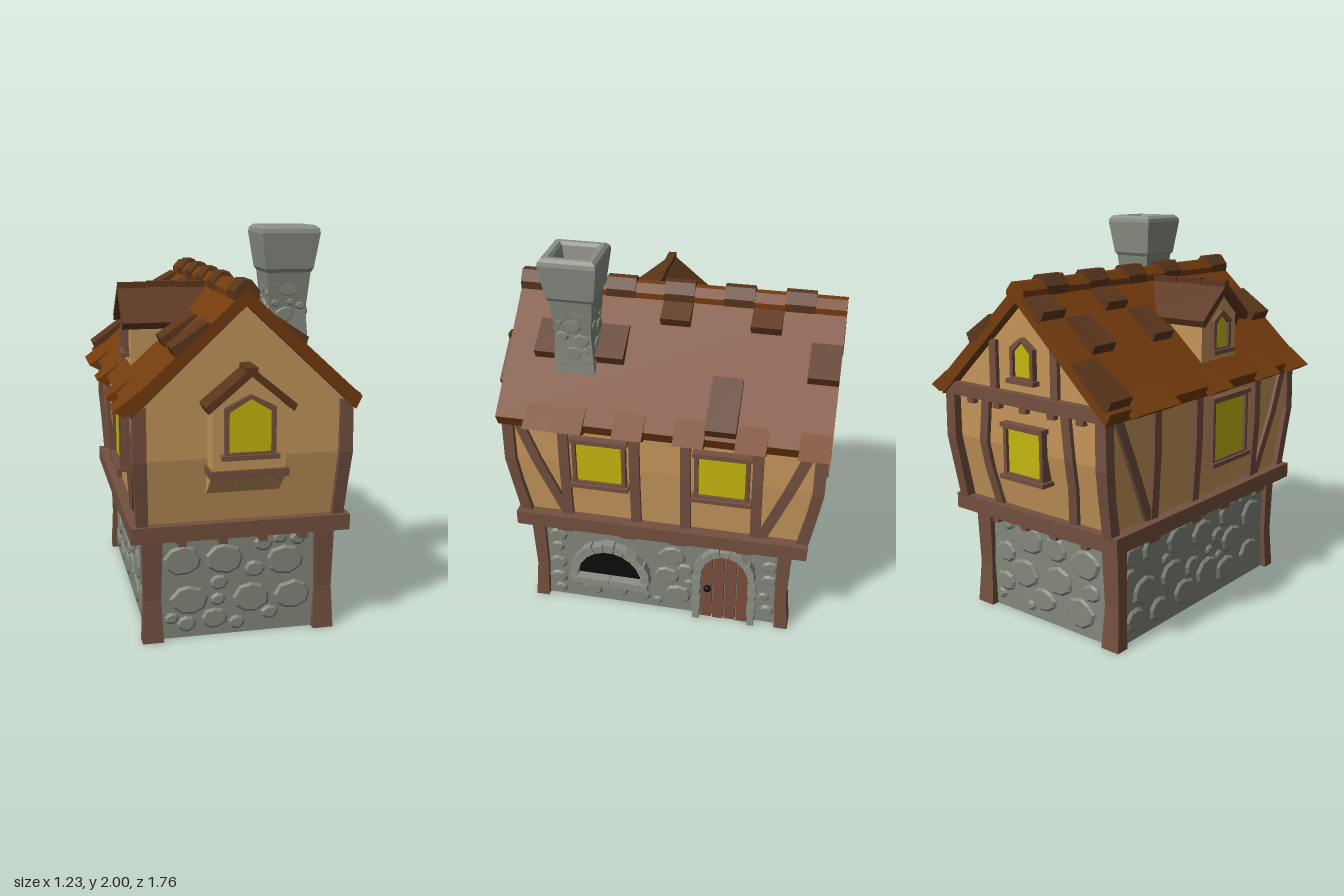
import * as THREE from 'three';
import { mergeGeometries } from 'three/addons/utils/BufferGeometryUtils.js';

const mat = (color) => new THREE.MeshStandardMaterial({ color, flatShading: true });
const M = {
  plaster: mat(0xc4955a), timber: mat(0x73503f), roof: mat(0x743c0e), tile: mat(0x5c361c),
  stone: mat(0x82877b), rim: mat(0x8b9085), glass: mat(0xc4b60f), dark: mat(0x0b0b0b), door: mat(0x7a4f3c),
};
let seed = 7;
const rnd = () => (seed = (seed * 16807) % 2147483647) / 2147483647;

function add(parent, name, geo, material, x = 0, y = 0, z = 0) {
  const m = new THREE.Mesh(geo, material);
  m.name = name;
  m.position.set(x, y, z);
  parent.add(m);
  return m;
}
const box = (p, name, m, w, h, d, x, y, z) => add(p, name, new THREE.BoxGeometry(w, h, d), m, x, y, z);

// Stack of rectangles [y, x0, x1, z0, z1] joined into a closed solid
function loft(rings) {
  const c = rings.map(([y, x0, x1, z0, z1]) => [[x0, y, z1], [x1, y, z1], [x1, y, z0], [x0, y, z0]]);
  const pos = [];
  const quad = (a, b, d, e) => pos.push(...a, ...b, ...d, ...a, ...d, ...e);
  for (let i = 0; i + 1 < c.length; i++)
    for (let k = 0; k < 4; k++) quad(c[i][k], c[i][(k + 1) % 4], c[i + 1][(k + 1) % 4], c[i + 1][k]);
  quad(...[...c[0]].reverse());
  quad(...c[c.length - 1]);
  const g = new THREE.BufferGeometry();
  g.setAttribute('position', new THREE.Float32BufferAttribute(pos, 3));
  g.computeVertexNormals();
  return g;
}
const poly = (pts) => new THREE.Shape(pts.map(([x, y]) => new THREE.Vector2(x, y)));
const extrude = (shape, z0, z1) =>
  new THREE.ExtrudeGeometry(shape, { depth: z1 - z0, bevelEnabled: false }).translate(0, 0, z0);
const house = (w, y0, y1, apex) => [[-w, y0], [w, y0], [w, y1], [0, apex], [-w, y1]];
const gableRoof = (w, eave, ridge, t, z0, z1) => extrude(poly([
  [-w, eave], [-w + t * 0.4, eave - t * 0.8], [0, ridge - t], [w - t * 0.4, eave - t * 0.8], [w, eave], [0, ridge]]), z0, z1);

// Framed window on a wall face; peak > 0 gives a pointed head
function windowOn(face, u, y, w, h, z, peak = 0) {
  const g = new THREE.Group();
  g.name = 'window';
  g.position.set(u, y, z);
  const f = 0.02;
  const pts = (k) => house(w / 2 + k, -h / 2 - k, h / 2 + k, h / 2 + k + peak + 0.0001);
  const frame = poly(pts(f));
  frame.holes.push(poly(pts(0)));
  add(g, 'windowFrame', extrude(frame, -0.04, 0.025), M.timber);
  add(g, 'windowPane', extrude(poly(pts(0.005)), -0.04, 0.008), M.glass);
  box(g, 'windowSill', M.timber, w + 0.07, 0.022, 0.08, 0, -h / 2 - f, 0);
  if (!peak) box(g, 'windowHead', M.timber, w + 0.06, 0.022, 0.07, 0, h / 2 + f, 0);
  face.add(g);
}

// Scattered irregular stones lying on a face
function stones(face, u0, u1, y0, y1, z, rMax, tries, blocked = () => false) {
  const placed = [], geos = [];
  for (let i = 0; i < tries; i++) {
    const r = rMax * (1 - 0.68 * i / tries), u = u0 + r + rnd() * (u1 - u0 - 2 * r), y = y0 + r + rnd() * (y1 - y0 - 2 * r);
    if (blocked(u, y, r) || placed.some((p) => Math.hypot(p[0] - u, (p[1] - y) * 1.2) < (p[2] + r) * 0.97)) continue;
    placed.push([u, y, r]);
    const pts = [], b = rMax * 0.12;
    for (let k = 0; k < 9; k++) {
      const a = (k + rnd() * 0.4) * Math.PI * 2 / 9, q = (r - b) * (0.88 + rnd() * 0.12);
      pts.push([Math.cos(a) * q, Math.sin(a) * q * 0.8]);
    }
    geos.push(new THREE.ExtrudeGeometry(poly(pts), { depth: 0.006, bevelSize: b, bevelThickness: 0.01, bevelSegments: 1 }).translate(u, y, z));
  }
  add(face, 'wallStones', mergeGeometries(geos), M.stone);
}

// Ring of wedge stones round an arched opening
function archStones(face, u, y, a, b, t, n, z0, z1) {
  for (let i = 0; i < n; i++) {
    const p = (k, q) => { const an = Math.PI * (i + k) / n; return [u + Math.cos(an) * (a + q), y + Math.sin(an) * (b + q)]; };
    const q = t + (i % 2) * 0.006;
    add(face, 'archStone', extrude(poly([p(0.04, 0), p(0.04, q), p(0.96, q), p(0.96, 0)]), z0, z1), M.rim);
  }
}

export function createModel() {
  const root = new THREE.Group();
  root.name = 'house';
  const face = {};
  for (const [n, r] of [['front', 0], ['right', Math.PI / 2], ['back', Math.PI], ['left', -Math.PI / 2]]) {
    face[n] = new THREE.Group();
    face[n].name = n + 'Face';
    face[n].rotation.y = r;
    root.add(face[n]);
  }

  // Stone ground floor
  add(root, 'stoneBase', loft([[0, -0.45, 0.45, -0.7, 0.63], [0.56, -0.45, 0.45, -0.7, 0.63]]), M.stone);
  const opening = (u, y, r) => (Math.abs(u + 0.24) < 0.22 + r && y - r < 0.44 && y + r > 0.14) || (Math.abs(u - 0.39) < 0.17 + r && y - r < 0.49);
  stones(face.front, -0.38, 0.38, 0.01, 0.53, 0.628, 0.1, 500);
  stones(face.back, -0.38, 0.38, 0.01, 0.53, 0.698, 0.1, 500);
  stones(face.left, -0.67, 0.6, 0.01, 0.53, 0.448, 0.1, 800);
  stones(face.right, -0.6, 0.67, 0.01, 0.53, 0.448, 0.08, 900, opening);

  // Corner posts on both floors, mirrored in x
  for (const s of [-1, 1]) for (const e of [0, 1]) {
    const ring = ([y, xi, xo, zi, zo]) => {
      const shift = e ? -0.085 : 0, k = e ? -1 : 1;
      const x = [s * xi, s * xo].sort((a, b) => a - b), z = [k * zi - (e ? 0.07 : 0), k * zo - (e ? 0.07 : 0)].sort((a, b) => a - b);
      return y > 0.59 ? [y, ...x, z[0] + shift + 0.045 * e, z[1] + shift + 0.045 * e] : [y, ...x, ...z];
    };
    add(root, 'lowerPost', loft([[0, 0.38, 0.485, 0.6, 0.67], [0.22, 0.39, 0.475, 0.59, 0.652], [0.56, 0.38, 0.48, 0.595, 0.665]].map(ring)), M.timber);
    add(root, 'upperPost', loft([[0.6, 0.455, 0.51, 0.64, 0.7], [0.8, 0.46, 0.52, 0.68, 0.735], [0.94, 0.465, 0.53, 0.7, 0.757], [1.2, 0.465, 0.525, 0.7, 0.757]].map(ring)), M.timber);
  }

  // Beam belt with pegs below
  add(root, 'beltBeam', loft([[0.535, -0.54, 0.54, -0.81, 0.72], [0.615, -0.54, 0.54, -0.81, 0.72]]), M.timber);
  for (const x of [-0.29, -0.09, 0.11, 0.31]) {
    box(face.front, 'peg', M.timber, 0.042, 0.04, 0.1, x, 0.52, 0.65);
    box(face.back, 'peg', M.timber, 0.042, 0.04, 0.1, x, 0.52, 0.73);
  }
  for (const z of [0.47, 0.125, -0.14, -0.49]) {
    box(face.right, 'peg', M.timber, 0.08, 0.04, 0.1, -z, 0.52, 0.46);
    box(face.left, 'peg', M.timber, 0.08, 0.04, 0.1, z, 0.52, 0.46);
  }

  // Flared plaster storey and gable
  add(root, 'upperWall', loft([[0.6, -0.48, 0.48, -0.76, 0.67], [0.94, -0.5, 0.5, -0.825, 0.73], [1.2, -0.5, 0.5, -0.825, 0.73]]), M.plaster);
  add(root, 'gable', extrude(poly([[-0.5, 1.18], [0.5, 1.18], [0.5, 1.22], [0, 1.67], [-0.5, 1.22]]), -0.825, 0.73), M.plaster);

  // Timbers follow the flare of their wall; path is [y, u] pairs
  const flare = { right: [0.48, 0.02], left: [0.48, 0.02], back: [0.76, 0.065] };
  function timber(side, path, w = 0.052, depth = 0.022) {
    const out = (y) => flare[side][0] + flare[side][1] * Math.min(1, (y - 0.6) / 0.34);
    add(face[side], 'wallTimber', loft(path.map(([y, u]) => [y, u - w / 2, u + w / 2, out(y) - 0.03, out(y) + depth])), M.timber);
  }
  const brace = (side, a, b) => timber(side, [[0.61, a], [0.94, a + (b - a) * 0.58], [1.2, b]], 0.055, 0.018);
  for (const z of [0.445, 0.08, -0.18, -0.54]) timber('right', [[0.61, -z], [0.94, -z], [1.2, -z]]);
  brace('right', -0.45, -0.69);
  brace('right', 0.57, 0.8);
  for (const z of [0.4, -0.14, -0.48]) timber('left', [[0.61, z], [0.94, z], [1.2, z]]);
  brace('left', 0.43, 0.68);
  brace('left', -0.51, -0.78);
  for (const s of [-1, 1]) {
    timber('back', [[0.61, s * 0.25], [0.8, s * 0.28], [0.94, s * 0.285], [1.17, s * 0.26]]);
    timber('back', [[1.2, s * 0.2], [1.46, s * 0.2]], 0.045);
  }
  box(face.back, 'gableBeam', M.timber, 1.0, 0.065, 0.07, 0, 1.19, 0.83);
  for (const x of [-0.36, -0.18, 0, 0.18, 0.36]) box(face.back, 'peg', M.timber, 0.045, 0.035, 0.05, x, 1.145, 0.83);

  // Windows
  windowOn(face.right, -0.26, 0.97, 0.235, 0.225, 0.51);
  windowOn(face.right, 0.365, 0.97, 0.235, 0.225, 0.51);
  windowOn(face.left, 0.12, 0.95, 0.28, 0.3, 0.51);
  windowOn(face.back, 0, 0.93, 0.22, 0.22, 0.835);
  windowOn(face.back, 0, 1.36, 0.11, 0.12, 0.83, 0.05);

  // Oven opening
  const R = face.right;
  const hole = [];
  for (let i = 0; i <= 16; i++) hole.push([-0.24 + 0.185 * Math.cos(Math.PI * i / 16), 0.18 + 0.2 * Math.sin(Math.PI * i / 16)]);
  add(R, 'ovenMouth', extrude(poly(hole), 0.4, 0.458), M.dark);
  archStones(R, -0.24, 0.18, 0.18, 0.195, 0.045, 11, 0.42, 0.5);
  for (const s of [-1, 1]) box(R, 'ovenSill', M.rim, 0.212, 0.04, 0.09, -0.24 + s * 0.107, 0.165, 0.465);

  // Plank door with stone arch
  const top = (d) => 0.29 + 0.16 * Math.sqrt(Math.max(0, 1 - (d / 0.135) ** 2));
  for (let i = 0; i < 4; i++) {
    const a = -0.13 + i * 0.065, pts = [[a + 0.003, 0], [a + 0.062, 0]];
    for (let k = 4; k >= 0; k--) pts.push([a + 0.003 + k * 0.01475, top(a + 0.003 + k * 0.01475)]);
    add(R, 'doorPlank', extrude(poly(pts.map(([u, y]) => [u + 0.39, y])), 0.4, 0.47 + (i % 2) * 0.004), M.door);
  }
  add(R, 'doorKnob', new THREE.SphereGeometry(0.02, 10, 8), M.dark, 0.3, 0.21, 0.485);
  archStones(R, 0.39, 0.29, 0.13, 0.16, 0.035, 9, 0.42, 0.5);
  for (const s of [-1, 1]) for (let i = 0; i < 4; i++)
    box(R, 'doorJamb', M.rim, 0.036 + (i % 2) * 0.008, 0.068, 0.08, 0.39 + s * 0.149, 0.036 + i * 0.0725, 0.46);

  // Projecting front window bay
  const F = face.front;
  add(F, 'bay', extrude(poly(house(0.175, 0.88, 1.2, 1.365)), 0.66, 0.835), M.plaster);
  add(F, 'bayRoof', gableRoof(0.215, 1.215, 1.39, 0.04, 0.7, 0.875), M.tile);
  box(F, 'bayRidge', M.tile, 0.05, 0.035, 0.17, 0, 1.375, 0.795);
  box(F, 'baySill', M.timber, 0.375, 0.038, 0.13, 0, 0.89, 0.785);
  add(F, 'bayBracket', loft([[0.765, -0.178, 0.178, 0.64, 0.71], [0.875, -0.178, 0.178, 0.64, 0.83]]), M.plaster);
  for (const x of [-0.13, -0.04, 0.05, 0.14]) box(F, 'peg', M.timber, 0.03, 0.03, 0.05, x, 0.862, 0.805);
  windowOn(F, 0, 1.09, 0.2, 0.19, 0.835, 0.06);

  // Main roof with ridge caps
  add(root, 'roof', gableRoof(0.565, 1.215, 1.73, 0.075, -0.88, 0.77), M.roof);
  for (let i = 0; i < 11; i++) {
    const z = 0.77 - i * 0.15, k = [0, 3, 5, 7, 9].includes(i) ? 0.02 : 0;
    add(root, 'ridgeCap', extrude(poly([[-0.055, 1.66], [0.055, 1.66], [0.055 + k / 4, 1.71 + k / 2], [0.02, 1.75 + k], [-0.02, 1.75 + k], [-0.055 - k / 4, 1.71 + k / 2]]), z - 0.15, z), k ? M.tile : M.roof);
  }
  // Raised wedge tiles, listed as [inner x, outer x, z start, kind]; wide ones hang over the eaves
  const cos = 1 / Math.hypot(1, 0.91);
  const tiles = {
    1: [[0.17, 0.34, -0.88], [0.06, 0.17, -0.58], [0.33, 0.57, -0.43], [0.06, 0.17, -0.13], [0.17, 0.34, 0.17], [0.17, 0.34, 0.475]],
    '-1': [[0.35, 0.57, -0.88], [0.06, 0.18, -0.88], [0.17, 0.35, -0.73], [0.06, 0.18, -0.43], [0.17, 0.35, -0.28], [0.17, 0.35, 0.32], [0.17, 0.35, 0.62]],
  };
  const eaves = { 1: [-0.88, -0.58, -0.28, 0.02, 0.32, 0.47], '-1': [-0.73, -0.58, -0.13, 0.32, 0.62] };
  for (const s of [1, -1]) {
    const side = new THREE.Group(), slope = new THREE.Group();
    side.name = 'roofTiles';
    side.rotation.y = s > 0 ? 0 : Math.PI;
    slope.position.y = 1.73;
    slope.rotation.z = -Math.atan(0.91);
    side.add(slope);
    root.add(side);
    const zr = (z) => (s > 0 ? [z, z + 0.15] : [-z - 0.15, -z]);
    for (const [a, b, z] of tiles[s])
      add(slope, 'raisedTile', extrude(poly([[a / cos, -0.02], [b / cos - 0.02, -0.02], [b / cos - 0.04, 0.045], [a / cos, 0.015]]), ...zr(z)), M.tile);
    for (const z of eaves[s])
      add(slope, 'eaveTile', extrude(poly([[0.5 / cos, -0.05], [0.59 / cos, -0.04], [0.605 / cos, 0.018], [0.5 / cos, 0.003]]), ...zr(z)), M.roof);
  }

  // Dormer on the side slope
  const D = new THREE.Group();
  D.name = 'dormer';
  D.position.x = 0.095;
  face.left.add(D);
  add(D, 'dormerWall', extrude(poly(house(0.15, 1.2, 1.53, 1.66)), 0.06, 0.465), M.plaster);
  add(D, 'dormerRoof', gableRoof(0.205, 1.525, 1.695, 0.04, 0.06, 0.51), M.tile);
  for (let i = 0; i < 3; i++) box(D, 'dormerRidge', M.tile, 0.04, 0.03, 0.146, 0, 1.692 + (i % 2) * 0.005, 0.435 - i * 0.15);
  windowOn(D, 0, 1.43, 0.11, 0.12, 0.465, 0.05);

  // Chimney with hollow cap
  const C = new THREE.Group();
  C.name = 'chimney';
  C.position.set(0.268, 0, 0.41);
  root.add(C);
  const sq = ([y, r]) => [y, -r, r, -r, r];
  add(C, 'chimneyStack', loft([[1.385, 0.105], [1.6, 0.09], [1.79, 0.108]].map(sq)), M.stone);
  add(C, 'chimneyCap', loft([[1.775, 0.105], [1.795, 0.118], [1.965, 0.142], [1.985, 0.138], [2, 0.122], [2, 0.1], [1.985, 0.088], [1.9, 0.075]].map(sq)), M.rim);
  for (let i = 0; i < 4; i++) {
    const g = new THREE.Group();
    g.rotation.y = i * Math.PI / 2;
    C.add(g);
    stones(g, -0.088, 0.088, 1.4, 1.77, 0.086, 0.048, 200);
  }
  return root;
}
